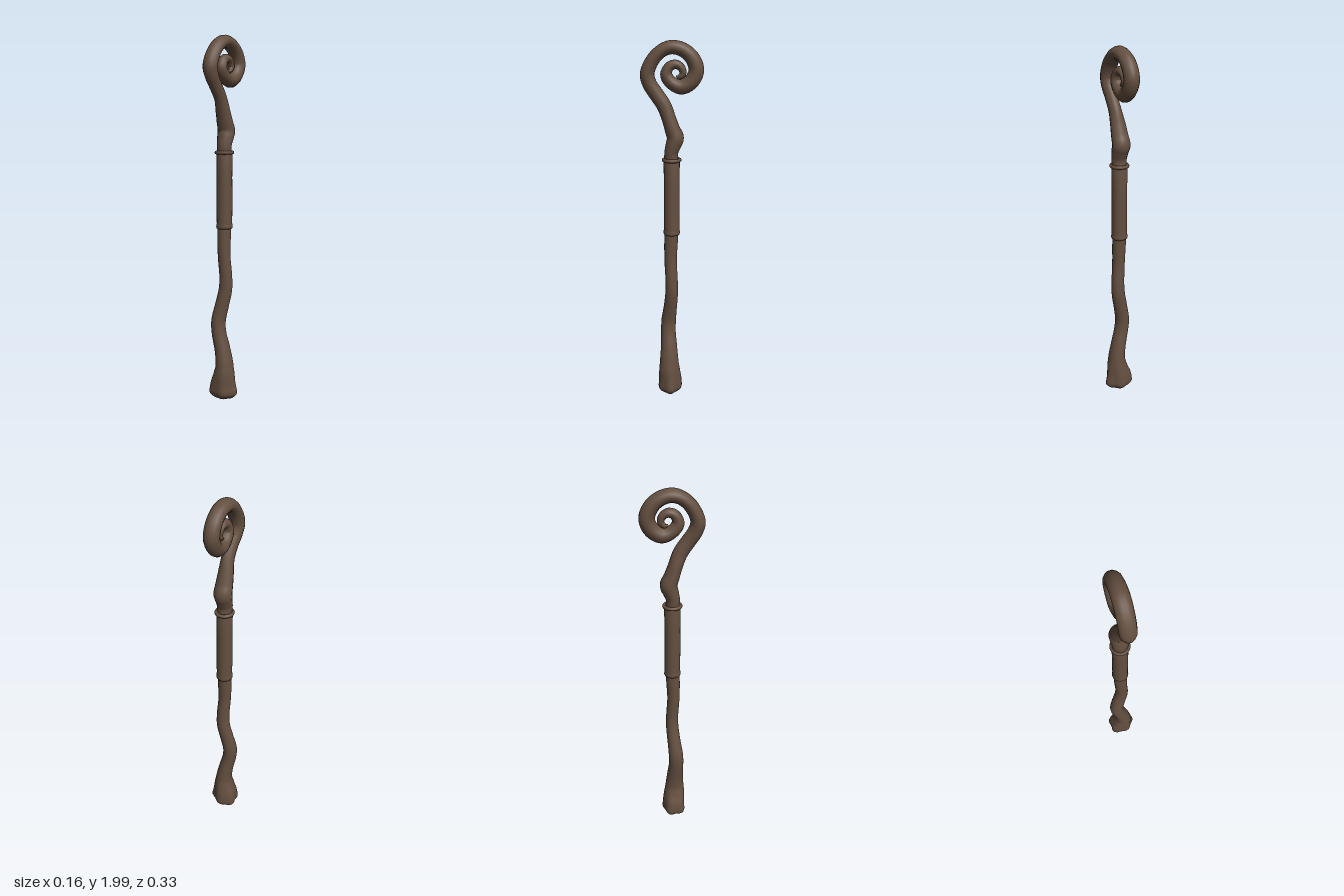
import * as THREE from 'three';

const wood = new THREE.MeshStandardMaterial({ color: 0x644f40 });
wood.name = 'darkWood';

// Sweeps an oval section along stations [x, y, z, widthRadius, depthRadius].
// shape(angle, point) scales the radius for knots and toes.
function sweep(name, stations, steps, sides, shape) {
  const path = new THREE.CatmullRomCurve3(stations.map(s => new THREE.Vector3(s[0], s[1], s[2])));
  const size = new THREE.CatmullRomCurve3(
    stations.map(s => new THREE.Vector3(s[3], s[4], 0)), false, 'catmullrom', 0.4);
  const side = new THREE.Vector3(1, 0, 0);
  const pos = [], index = [];
  for (let i = 0; i <= steps; i++) {
    const t = i / steps;
    const p = path.getPoint(t), r = size.getPoint(t);
    const tangent = path.getTangent(t);
    const depth = side.clone().cross(tangent).normalize();
    const width = tangent.clone().cross(depth).normalize();
    for (let j = 0; j < sides; j++) {
      const a = (j / sides) * Math.PI * 2;
      const k = shape(a, p);
      const v = p.clone()
        .addScaledVector(width, Math.cos(a) * Math.max(r.x, 0) * k)
        .addScaledVector(depth, Math.sin(a) * Math.max(r.y, 0) * k);
      pos.push(v.x, v.y, v.z);
      if (i < steps) {
        const j2 = (j + 1) % sides;
        const A = i * sides + j, B = i * sides + j2, C = A + sides, D = B + sides;
        index.push(A, C, B, B, C, D);
      }
    }
  }
  const g = new THREE.BufferGeometry();
  g.setAttribute('position', new THREE.Float32BufferAttribute(pos, 3));
  g.setIndex(index);
  g.computeVertexNormals();
  const mesh = new THREE.Mesh(g, wood);
  mesh.name = name;
  return mesh;
}

function lathe(name, points) {
  const g = new THREE.LatheGeometry(points.map(p => new THREE.Vector2(p[0], p[1])), 20);
  const mesh = new THREE.Mesh(g, wood);
  mesh.name = name;
  return mesh;
}

export function createModel() {
  const staff = new THREE.Group();
  staff.name = 'crookedStaff';

  // Wavy lower shaft, swelling into a knuckled foot
  const lower = [
    [0, 0.012, 0.01, 0.001, 0.001],
    [0, 0.016, 0.01, 0.045, 0.04],
    [0, 0.045, 0.01, 0.074, 0.064],
    [0, 0.09, 0.01, 0.072, 0.064],
    [0.008, 0.15, 0.013, 0.059, 0.06],
    [0.01, 0.21, 0.014, 0.047, 0.053],
    [-0.004, 0.3, 0.016, 0.042, 0.046],
    [-0.022, 0.38, 0.02, 0.04, 0.042],
    [-0.028, 0.45, 0.018, 0.04, 0.041],
    [-0.012, 0.54, 0.008, 0.039, 0.037],
    [0.006, 0.63, 0, 0.038, 0.035],
    [0.009, 0.7, 0, 0.036, 0.034],
    [0.002, 0.82, 0.006, 0.035, 0.034],
    [0, 0.92, 0.004, 0.037, 0.037],
    [0, 1.0, 0, 0.038, 0.038],
  ];
  const toes = (a, p) => {
    const f = THREE.MathUtils.clamp(1 - (p.y - 0.05) / 0.16, 0, 1);
    return 1 + f * (0.09 * Math.cos(5 * a + 0.6) + 0.04 * Math.cos(3 * a));
  };
  staff.add(sweep('lowerShaftAndFoot', lower, 90, 24, toes));

  // Grip sleeve with a rolled lower edge
  staff.add(lathe('gripSleeve', [
    [0.03, 0.972], [0.042, 0.972], [0.045, 0.98], [0.044, 0.992], [0.042, 1.0],
    [0.043, 1.12], [0.042, 1.25], [0.043, 1.38], [0.03, 1.385],
  ]));

  // Collar ring at the top of the sleeve
  const collar = new THREE.Mesh(new THREE.TorusGeometry(0.043, 0.01, 8, 20), wood);
  collar.name = 'collarRing';
  collar.rotation.x = Math.PI / 2;
  collar.position.y = 1.384;
  staff.add(collar);

  // Knotted neck rising into the spiral crook
  const crook = [
    [0, 1.36, 0, 0.038, 0.038],
    [0, 1.42, 0.003, 0.042, 0.036],
    [0, 1.465, -0.009, 0.047, 0.041],
    [-0.001, 1.5, -0.019, 0.049, 0.045],
    [0, 1.545, -0.004, 0.046, 0.04],
    [0.001, 1.6, 0.014, 0.041, 0.037],
    [0.004, 1.67, 0.04, 0.033, 0.038],
    [0.004, 1.73, 0.08, 0.032, 0.038],
    [0.002, 1.78, 0.113, 0.037, 0.037],
    [0, 1.83, 0.126, 0.041, 0.037],
    [0, 1.9, 0.098, 0.042, 0.035],
    [0, 1.948, 0.05, 0.042, 0.034],
    [0, 1.965, 0, 0.042, 0.035],
    [0, 1.953, -0.055, 0.041, 0.036],
    [0, 1.912, -0.104, 0.041, 0.038],
    [0, 1.85, -0.126, 0.041, 0.04],
    [0, 1.794, -0.1, 0.04, 0.04],
    [0, 1.767, -0.052, 0.039, 0.039],
    [0, 1.782, -0.005, 0.036, 0.034],
    [0, 1.825, 0.028, 0.033, 0.031],
    [0, 1.866, 0.014, 0.029, 0.026],
    [0, 1.88, -0.02, 0.026, 0.023],
    [0, 1.862, -0.05, 0.023, 0.02],
    [0, 1.832, -0.057, 0.02, 0.017],
    [0, 1.815, -0.037, 0.016, 0.013],
    [0, 1.822, -0.022, 0.001, 0.001],
  ];
  staff.add(sweep('neckAndSpiralCrook', crook, 150, 14, a => 1 + 0.025 * Math.cos(4 * a)));

  return staff;
}
